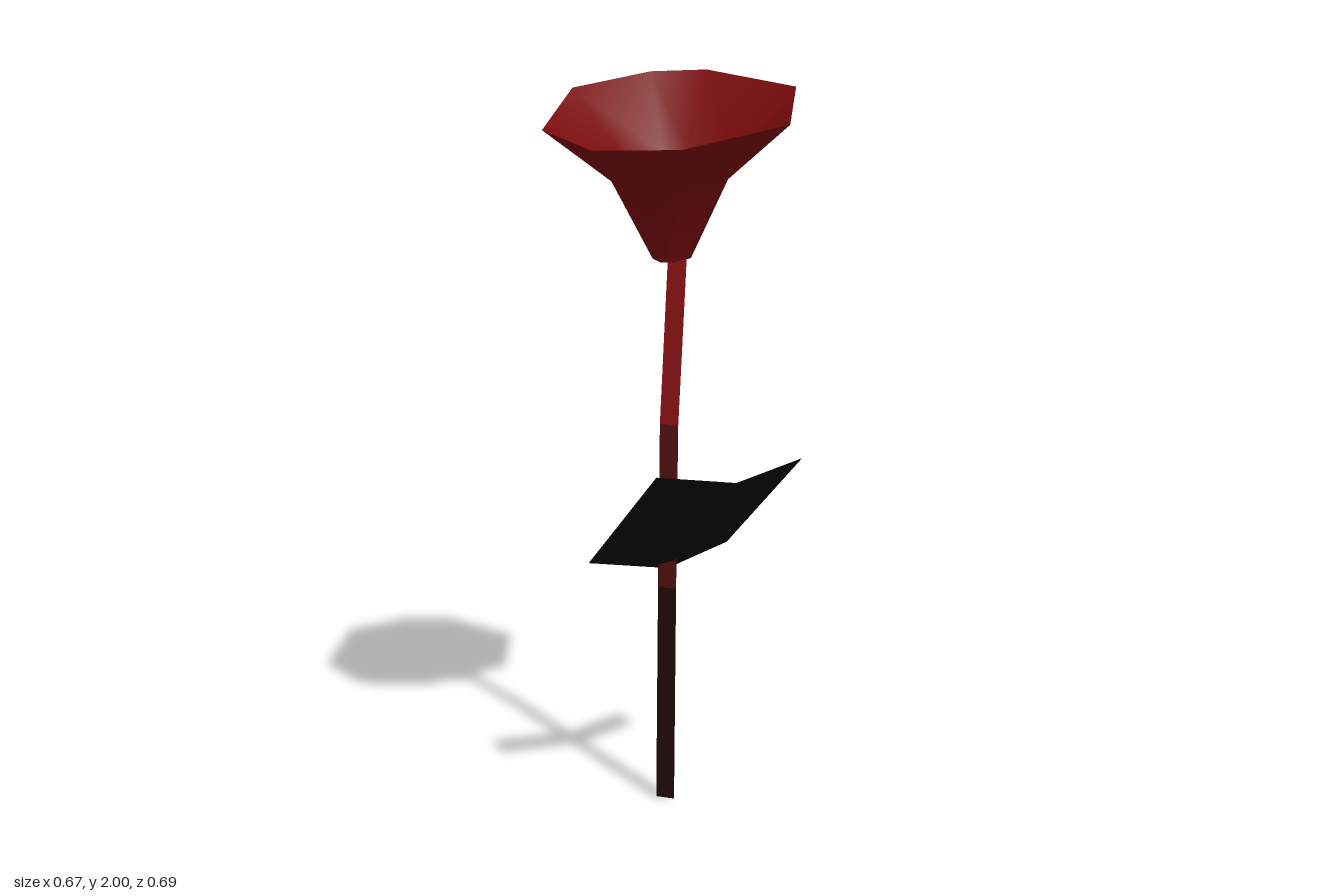
import * as THREE from 'three';

// Skins rows of [x, y, z] points into one thin sheet; closed joins each row's ends.
function sheet(name, rows, color, closed = false) {
  const n = rows[0].length;
  const index = [];
  for (let i = 0; i < rows.length - 1; i++) {
    for (let j = 0; j < (closed ? n : n - 1); j++) {
      const a = i * n + j, b = i * n + (j + 1) % n;
      index.push(a, a + n, b, b, a + n, b + n);
    }
  }
  const geometry = new THREE.BufferGeometry();
  geometry.setAttribute('position', new THREE.Float32BufferAttribute(rows.flat(2), 3));
  geometry.setIndex(index);
  geometry.computeVertexNormals();
  const material = new THREE.MeshStandardMaterial({ color, side: THREE.DoubleSide });
  const mesh = new THREE.Mesh(geometry, material);
  mesh.name = name;
  return mesh;
}

export function createModel() {
  const group = new THREE.Group();
  group.name = 'flower';

  // Bloom: an uneven eight-sided trumpet whose rings all tilt towards the front
  const rim = [[-0.12, -0.33], [0.035, -0.345], [0.29, -0.195], [0.29, 0.105],
    [0.035, 0.285], [-0.185, 0.29], [-0.335, 0.145], [-0.315, -0.19]];
  const ring = (scale, cx, cy, cz) => rim.map(([x, z]) => {
    const dx = (x + 0.022) * scale, dz = (z + 0.028) * scale;
    return [cx + dx, cy - 0.33 * dz, cz + dz];
  });
  group.add(sheet('bloom', [
    ring(0, -0.02, 1.515, -0.01),
    ring(0.16, -0.02, 1.515, -0.01),
    ring(0.48, -0.02, 1.735, -0.015),
    ring(1, -0.022, 1.895, -0.028),
  ], 0x7a0a0c, true));

  // Stem: a flat ribbon, dark at the foot and red towards the bloom
  const across = (x, y, z) => [[x + 0.025, y, z], [x - 0.025, y + 0.005, z]];
  const foot = across(-0.04, 0.003, 0.015);
  const middle = across(-0.038, 0.6, -0.02);
  const bend = across(-0.035, 1.05, -0.045);
  const top = across(-0.008, 1.53, -0.018);
  group.add(sheet('lowerStem', [foot, middle], 0x1c0606));
  group.add(sheet('middleStem', [middle, bend], 0x4a0a0c));
  group.add(sheet('upperStem', [bend, top], 0x8a1014));

  // Leaf: two panels folded along a central crease, rising to the front left
  group.add(sheet('leaf', [
    [[0.11, 0.69, -0.205], [-0.04, 0.65, -0.05], [-0.24, 0.69, 0.07]],
    [[0.33, 0.99, 0.06], [0.17, 0.955, 0.225], [-0.02, 0.99, 0.345]],
  ], 0x0e0a0a));

  return group;
}
